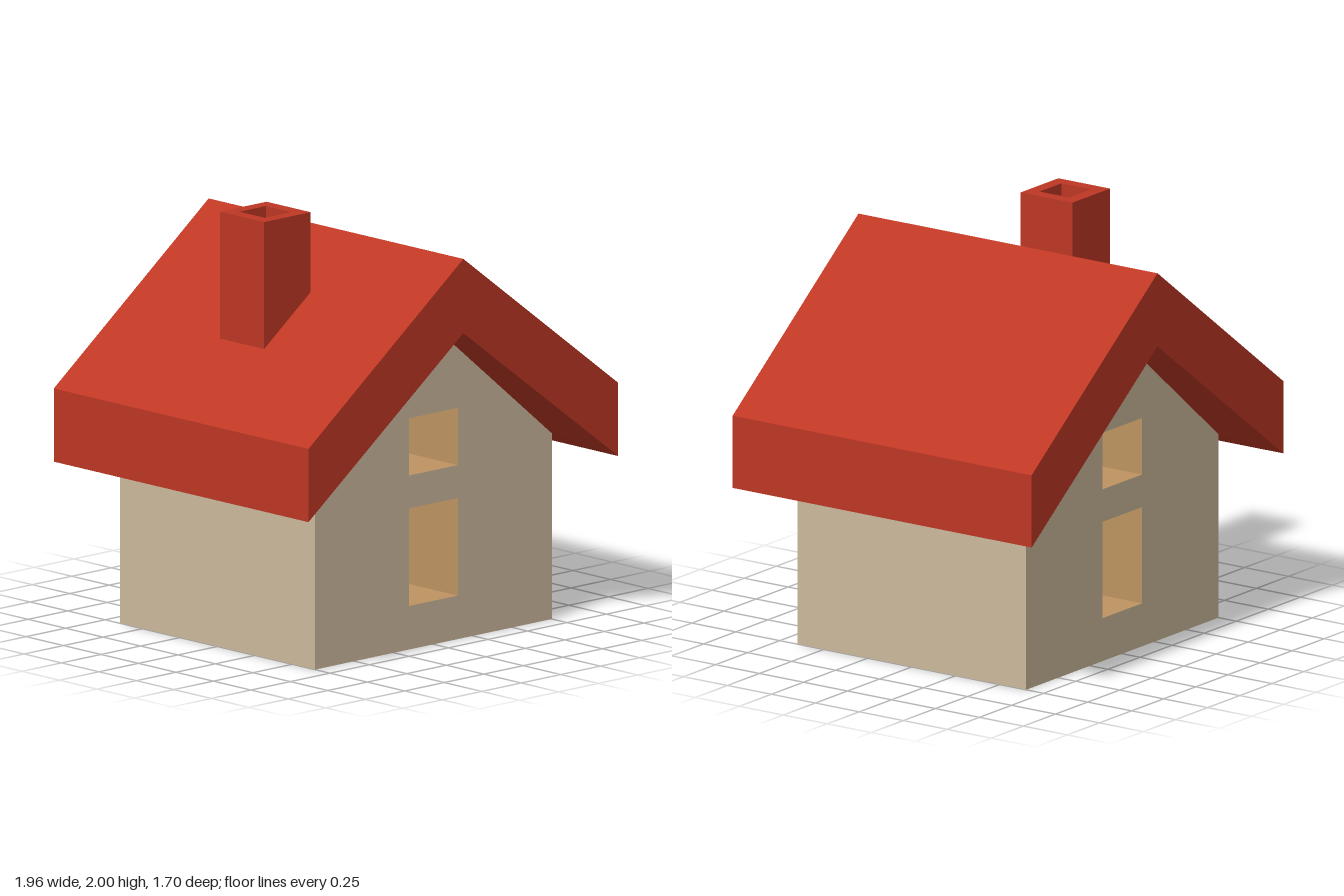
import * as THREE from 'three';

const mat = (name, color) => {
  const m = new THREE.MeshStandardMaterial({ color });
  m.name = name;
  return m;
};

// Closed rectangular hole path
function rectHole(x0, y0, x1, y1) {
  return new THREE.Path([[x0, y0], [x0, y1], [x1, y1], [x1, y0]].map(p => new THREE.Vector2(...p)));
}

// Flat-faced geometry from counter-clockwise quads
function fromQuads(quads) {
  const pos = [];
  for (const [a, b, c, d] of quads) pos.push(...a, ...b, ...c, ...a, ...c, ...d);
  const g = new THREE.BufferGeometry();
  g.setAttribute('position', new THREE.Float32BufferAttribute(pos, 3));
  g.computeVertexNormals();
  return g;
}

// Gabled block with door and window openings running right through
function makeHouse(wall, wood) {
  const shape = new THREE.Shape(
    [[-0.75, 0], [0.75, 0], [0.75, 0.875], [0, 1.5], [-0.75, 0.875]].map(p => new THREE.Vector2(...p)));
  shape.holes.push(rectHole(-0.155, 0.205, 0.155, 0.665), rectHole(-0.155, 0.82, 0.155, 1.09));
  const g = new THREE.ExtrudeGeometry(shape, { depth: 1.3, bevelEnabled: false });
  g.translate(0, 0, -0.65);

  // Opening linings and the underside are wood; gables and outer walls are plain
  const caps = g.groups[0].count;
  const p = g.attributes.position;
  g.clearGroups();
  g.addGroup(0, caps, 0);
  for (let i = caps; i < p.count; i += 3) {
    const x = (p.getX(i) + p.getX(i + 1) + p.getX(i + 2)) / 3;
    const y = (p.getY(i) + p.getY(i + 1) + p.getY(i + 2)) / 3;
    g.addGroup(i, 3, Math.abs(x) < 0.3 && y < 1.2 ? 1 : 0);
  }
  return new THREE.Mesh(g, [wall, wood]);
}

// Thick gable roof whose soffits slope in to the wall tops
function makeRoof(red) {
  const quads = [];
  for (const sx of [1, -1]) {
    const P = (x, y, z) => [sx * x, y, z];
    const add = (...q) => quads.push(sx > 0 ? q : q.reverse());
    // Slope, eave face and eave soffit
    add(P(0, 1.85, 0.85), P(0.98, 1.11, 0.85), P(0.98, 1.11, -0.85), P(0, 1.85, -0.85));
    add(P(0.98, 1.11, 0.85), P(0.98, 0.765, 0.85), P(0.98, 0.765, -0.85), P(0.98, 1.11, -0.85));
    add(P(0.98, 0.765, 0.85), P(0.75, 0.875, 0.65), P(0.75, 0.875, -0.65), P(0.98, 0.765, -0.85));
    // Gable fascia and gable soffit, front and back
    for (const sz of [1, -1]) {
      const end = (...q) => add(...(sz > 0 ? q : q.reverse()));
      end(P(0, 1.5, sz * 0.85), P(0.98, 0.765, sz * 0.85), P(0.98, 1.11, sz * 0.85), P(0, 1.85, sz * 0.85));
      end(P(0, 1.5, sz * 0.85), P(0, 1.5, sz * 0.65), P(0.75, 0.875, sz * 0.65), P(0.98, 0.765, sz * 0.85));
    }
  }
  return new THREE.Mesh(fromQuads(quads), red);
}

// Square flue, open at the top, standing on the left-hand slope
function makeChimney(red) {
  const h = 0.147, f = 0.085;
  const shape = new THREE.Shape([[-h, -h], [h, -h], [h, h], [-h, h]].map(p => new THREE.Vector2(...p)));
  shape.holes.push(rectHole(-f, -f, f, f));
  const g = new THREE.ExtrudeGeometry(shape, { depth: 0.65, bevelEnabled: false });
  g.rotateX(-Math.PI / 2);
  g.translate(-0.447, 1.35, 0);
  return new THREE.Mesh(g, red);
}

export function createModel() {
  const wall = mat('beige wall', 0xcdb99d);
  const wood = mat('brown wood', 0xbe9361);
  const red = mat('red roof', 0xbe3724);

  const model = new THREE.Group();
  model.name = 'house';
  const parts = { walls: makeHouse(wall, wood), roof: makeRoof(red), chimney: makeChimney(red) };
  for (const [name, mesh] of Object.entries(parts)) {
    mesh.name = name;
    model.add(mesh);
  }
  return model;
}
